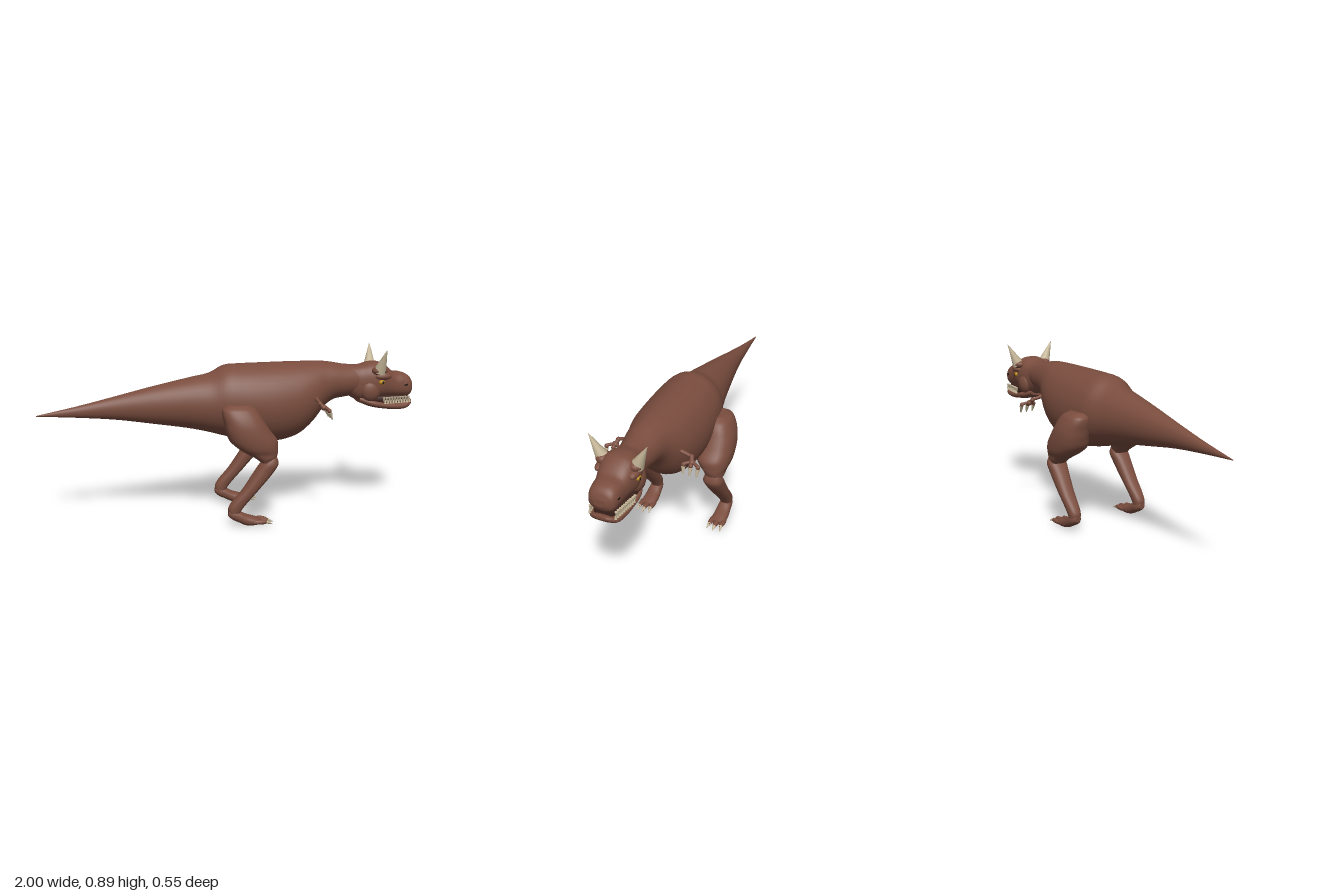
import * as THREE from 'three';

const mat = (name, color) => Object.assign(new THREE.MeshStandardMaterial({ color }), { name });

// Smooth skin over cross-sections [t, high, low, zCentre, zHalfWidth] along x (high/low in y) or y (high/low in x).
function loft(axis, sections, steps = 40, power = 1, sides = 32) {
  const spline = new THREE.CubicInterpolant(sections.map(s => s[0]), sections.flatMap(s => s.slice(1)), 4);
  const t0 = sections[0][0], t1 = sections[sections.length - 1][0];
  const pos = [], index = [];
  const bend = v => Math.sign(v) * Math.abs(v) ** power;
  const put = (t, h, z) => pos.push(...(axis === 'x' ? [t, h, z] : [h, t, z]));
  const ring = t => {
    const [hi, lo, zc, r] = spline.evaluate(t);
    for (let j = 0; j < sides; j++) {
      const a = j / sides * Math.PI * 2 * (axis === 'x' ? 1 : -1);
      put(t, (hi + lo) / 2 + bend(Math.cos(a)) * (hi - lo) / 2, zc + bend(Math.sin(a)) * r);
    }
    return [(hi + lo) / 2, zc];
  };
  for (let i = 0; i <= steps; i++) ring(t0 + (t1 - t0) * i / steps);
  for (let i = 0; i < steps; i++) for (let j = 0; j < sides; j++) {
    const k = (j + 1) % sides, a = i * sides + j, b = i * sides + k;
    index.push(a, b, a + sides, b, b + sides, a + sides);
  }
  // end caps
  for (const t of [t0, t1]) {
    const base = pos.length / 3;
    put(t, ...ring(t));
    for (let j = 0; j < sides; j++) {
      const a = base + j, b = base + (j + 1) % sides;
      index.push(base + sides, ...(t === t0 ? [b, a] : [a, b]));
    }
  }
  const g = new THREE.BufferGeometry();
  g.setAttribute('position', new THREE.Float32BufferAttribute(pos, 3));
  g.setIndex(index);
  g.computeVertexNormals();
  return g;
}

export function createModel() {
  const hide = mat('brown hide', 0x7a4d3e), horn = mat('horn', 0xc4b597), amber = mat('amber eye', 0xb98718);
  const dark = mat('dark', 0x1c1210), mouthMat = mat('mouth', 0x3c221c);
  const model = new THREE.Group();

  const add = (name, geometry, material, parent = model) => {
    const m = new THREE.Mesh(geometry, material);
    m.name = name;
    parent.add(m);
    return m;
  };
  // Tapered rod between two points
  const rod = (name, from, to, r0, r1, material, parent) => {
    const a = new THREE.Vector3(...from), d = new THREE.Vector3(...to).sub(a);
    const m = add(name, new THREE.CylinderGeometry(r1, r0, d.length(), 14), material, parent);
    m.position.copy(a).addScaledVector(d, 0.5);
    m.quaternion.setFromUnitVectors(new THREE.Vector3(0, 1, 0), d.normalize());
  };
  const blob = (name, p, r, material, parent) => {
    const m = add(name, new THREE.SphereGeometry(1, 18, 12), material, parent);
    m.position.set(...p);
    m.scale.set(...r);
    return m;
  };

  // Tail, torso and neck in one skin
  add('body', loft('x', [
    [-1, 0.582, 0.578, 0, 0.002], [-0.8, 0.622, 0.565, 0, 0.022], [-0.6, 0.668, 0.547, 0, 0.046],
    [-0.4, 0.715, 0.517, 0, 0.08], [-0.2, 0.757, 0.484, 0, 0.118], [-0.1, 0.778, 0.46, 0, 0.142],
    [-0.03, 0.814, 0.44, 0, 0.164], [0.06, 0.82, 0.42, 0, 0.176], [0.2, 0.822, 0.4, 0, 0.18],
    [0.3, 0.823, 0.41, 0, 0.173], [0.38, 0.823, 0.442, 0, 0.16], [0.45, 0.823, 0.505, 0, 0.136],
    [0.5, 0.821, 0.57, 0, 0.113], [0.55, 0.815, 0.61, 0, 0.1], [0.62, 0.802, 0.625, 0, 0.088],
    [0.72, 0.795, 0.635, 0, 0.07],
  ], 80, 1, 40), hide);

  // Head
  const head = new THREE.Group();
  head.name = 'head';
  model.add(head);
  add('skull', loft('x', [
    [0.64, 0.797, 0.635, 0, 0.072], [0.7, 0.796, 0.605, 0, 0.078], [0.76, 0.81, 0.605, 0, 0.092],
    [0.81, 0.81, 0.615, 0, 0.096], [0.85, 0.79, 0.62, 0, 0.087], [0.89, 0.758, 0.62, 0, 0.078],
    [0.94, 0.75, 0.618, 0, 0.073], [0.975, 0.735, 0.62, 0, 0.067], [0.992, 0.715, 0.635, 0, 0.054],
    [1, 0.69, 0.655, 0, 0.03],
  ], 50, 0.8), hide, head);
  add('lowerJaw', loft('x', [
    [0.7, 0.635, 0.595, 0, 0.06], [0.76, 0.62, 0.572, 0, 0.086], [0.84, 0.603, 0.557, 0, 0.086],
    [0.92, 0.598, 0.55, 0, 0.08], [0.97, 0.6, 0.559, 0, 0.07], [0.992, 0.605, 0.576, 0, 0.05],
    [1, 0.602, 0.588, 0, 0.03],
  ], 36, 0.8), hide, head);
  add('mouthInside', loft('x', [
    [0.74, 0.64, 0.59, 0, 0.076], [0.85, 0.64, 0.58, 0, 0.074], [0.94, 0.64, 0.58, 0, 0.06],
    [0.975, 0.64, 0.585, 0, 0.045],
  ], 12, 0.7), mouthMat, head);

  for (const s of [1, -1]) {
    // Face details
    rod('horn', [0.795, 0.77, s * 0.086], [0.81, 0.89, s * 0.145], 0.034, 0.001, horn, head);
    blob('hornBase', [0.795, 0.773, s * 0.082], [0.042, 0.025, 0.036], hide, head);
    blob('brow', [0.815, 0.742, s * 0.084], [0.048, 0.02, 0.024], hide, head);
    blob('cheek', [0.755, 0.665, s * 0.065], [0.055, 0.06, 0.035], hide, head);
    blob('eye', [0.805, 0.712, s * 0.094], [0.017, 0.013, 0.014], amber, head);
    blob('pupil', [0.809, 0.712, s * 0.105], [0.006, 0.008, 0.004], dark, head);
    blob('nostrilRim', [0.948, 0.692, s * 0.064], [0.02, 0.014, 0.009], hide, head);
    blob('nostril', [0.95, 0.69, s * 0.07], [0.012, 0.007, 0.004], dark, head);
    for (let i = 0; i < 10; i++) {
      const x = 0.825 + i * 0.016, z = s * (0.084 - i * 0.0022);
      rod('upperTooth', [x, 0.627, z], [x, 0.602, z], 0.008, 0.002, horn, head);
      rod('lowerTooth', [x + 0.008, 0.593, z], [x + 0.008, 0.613, z], 0.007, 0.002, horn, head);
    }

    // Legs
    const leg = new THREE.Group();
    leg.name = 'leg';
    model.add(leg);
    add('thigh', loft('y', [
      [0.34, 0.175, 0.125, s * 0.203, 0.04], [0.36, 0.205, 0.1, s * 0.203, 0.05],
      [0.385, 0.217, 0.055, s * 0.2, 0.058], [0.41, 0.219, 0.015, s * 0.192, 0.077],
      [0.45, 0.217, -0.03, s * 0.183, 0.092], [0.5, 0.18, -0.05, s * 0.187, 0.088],
      [0.55, 0.148, -0.06, s * 0.184, 0.083], [0.6, 0.118, -0.068, s * 0.178, 0.068],
      [0.62, 0.1, -0.062, s * 0.172, 0.06], [0.636, 0.07, -0.035, s * 0.165, 0.04],
    ], 40, 0.85), hide, leg);
    add('shin', loft('y', [
      [0.07, 0.015, -0.04, s * 0.208, 0.03], [0.1, 0.035, -0.042, s * 0.208, 0.033],
      [0.2, 0.122, 0.036, s * 0.207, 0.042], [0.3, 0.205, 0.105, s * 0.204, 0.05],
      [0.33, 0.22, 0.128, s * 0.203, 0.053], [0.355, 0.215, 0.15, s * 0.203, 0.045],
      [0.38, 0.205, 0.17, s * 0.203, 0.03],
    ], 30, 0.85), hide, leg);
    add('foot', loft('x', [
      [-0.042, 0.085, 0.055, s * 0.208, 0.018], [-0.025, 0.093, 0.04, s * 0.208, 0.03],
      [0.01, 0.085, 0.022, s * 0.208, 0.035], [0.05, 0.063, 0.004, s * 0.208, 0.039],
      [0.1, 0.046, 0.004, s * 0.208, 0.04], [0.13, 0.034, 0.012, s * 0.208, 0.032],
    ], 20, 0.9), hide, leg);
    for (const k of [-1, 0, 1]) {
      const z = s * 0.208 + k * 0.032, reach = k ? 0 : 0.012;
      blob('toe', [0.12 + reach, 0.024, z], [0.046, 0.013, 0.014], hide, leg);
      rod('toeClaw', [0.152 + reach, 0.024, z], [0.184 + reach, 0.013, z + k * 0.006], 0.01, 0.001, horn, leg);
    }

    // Small arms
    const arm = new THREE.Group();
    arm.name = 'arm';
    model.add(arm);
    blob('shoulder', [0.435, 0.652, s * 0.125], [0.022, 0.022, 0.016], hide, arm);
    rod('upperArm', [0.435, 0.651, s * 0.115], [0.44, 0.632, s * 0.195], 0.012, 0.008, hide, arm);
    blob('elbow', [0.44, 0.631, s * 0.196], [0.012, 0.012, 0.012], hide, arm);
    rod('forearm', [0.44, 0.631, s * 0.196], [0.458, 0.61, s * 0.204], 0.01, 0.012, hide, arm);
    blob('palm', [0.458, 0.612, s * 0.204], [0.016, 0.015, 0.017], hide, arm);
    for (const k of [-1, 0, 1]) {
      const z = s * 0.206 + k * 0.037;
      rod('finger', [0.458, 0.615, s * 0.204], [0.476, 0.606, z], 0.008, 0.008, hide, arm);
      blob('knuckle', [0.477, 0.602, z], [0.011, 0.012, 0.011], hide, arm);
      rod('fingerClaw', [0.48, 0.594, z], [0.494, 0.556, z - k * 0.002], 0.011, 0.003, horn, arm);
    }
  }
  return model;
}
